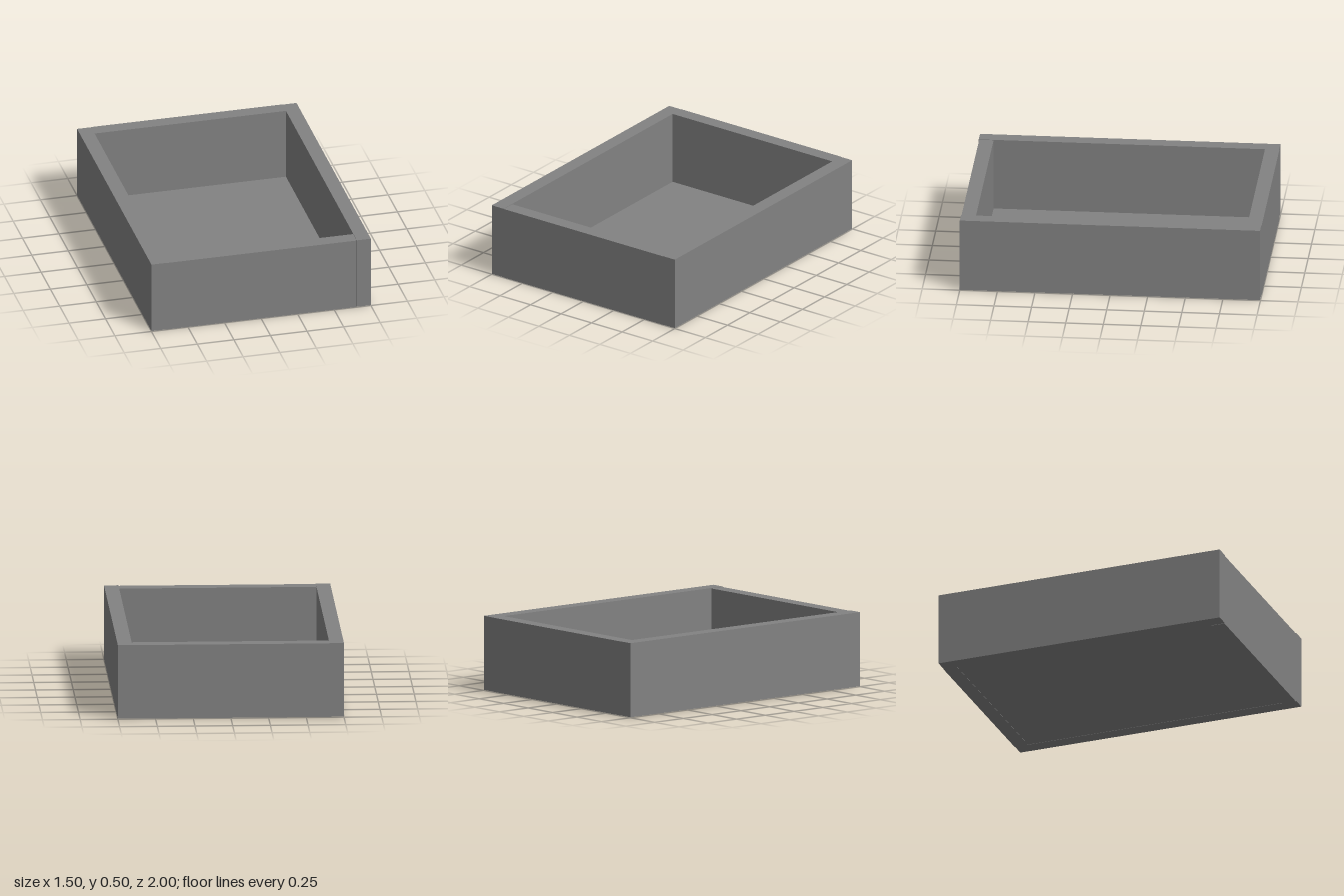
import * as THREE from 'three';

const W = 1.5, D = 2, H = 0.5;   // outer size
const T = 0.096;                 // wall thickness
const STEP = 0.003;              // tiny offset where the boards meet

export function createModel() {
  const group = new THREE.Group();
  group.name = 'openTray';
  const material = new THREE.MeshStandardMaterial({ color: 0x828282, flatShading: true });

  // Box given by its lower and upper corners
  const addBox = (name, [x0, y0, z0], [x1, y1, z1]) => {
    const mesh = new THREE.Mesh(new THREE.BoxGeometry(x1 - x0, y1 - y0, z1 - z0), material);
    mesh.name = name;
    mesh.position.set((x0 + x1) / 2, (y0 + y1) / 2, (z0 + z1) / 2);
    group.add(mesh);
  };

  const x = W / 2, z = D / 2, inX = x - T;

  // Side walls run the full length
  addBox('leftWall', [inX, STEP, STEP - z], [x, H, z]);
  addBox('rightWall', [-x, STEP, STEP - z], [-inX, H, z]);

  // End walls fit between them: the front one set slightly in and down, the back one slightly proud
  addBox('frontWall', [-inX, 0, z - T - STEP], [inX, H - STEP, z - STEP]);
  addBox('backWall', [-inX, STEP, -z], [inX, H, T - z]);

  // Thin floor panel between the walls, just above their lower edges
  addBox('floor', [-inX, STEP + 0.002, T - z], [inX, STEP + 0.005, z - T - STEP]);
  return group;
}
